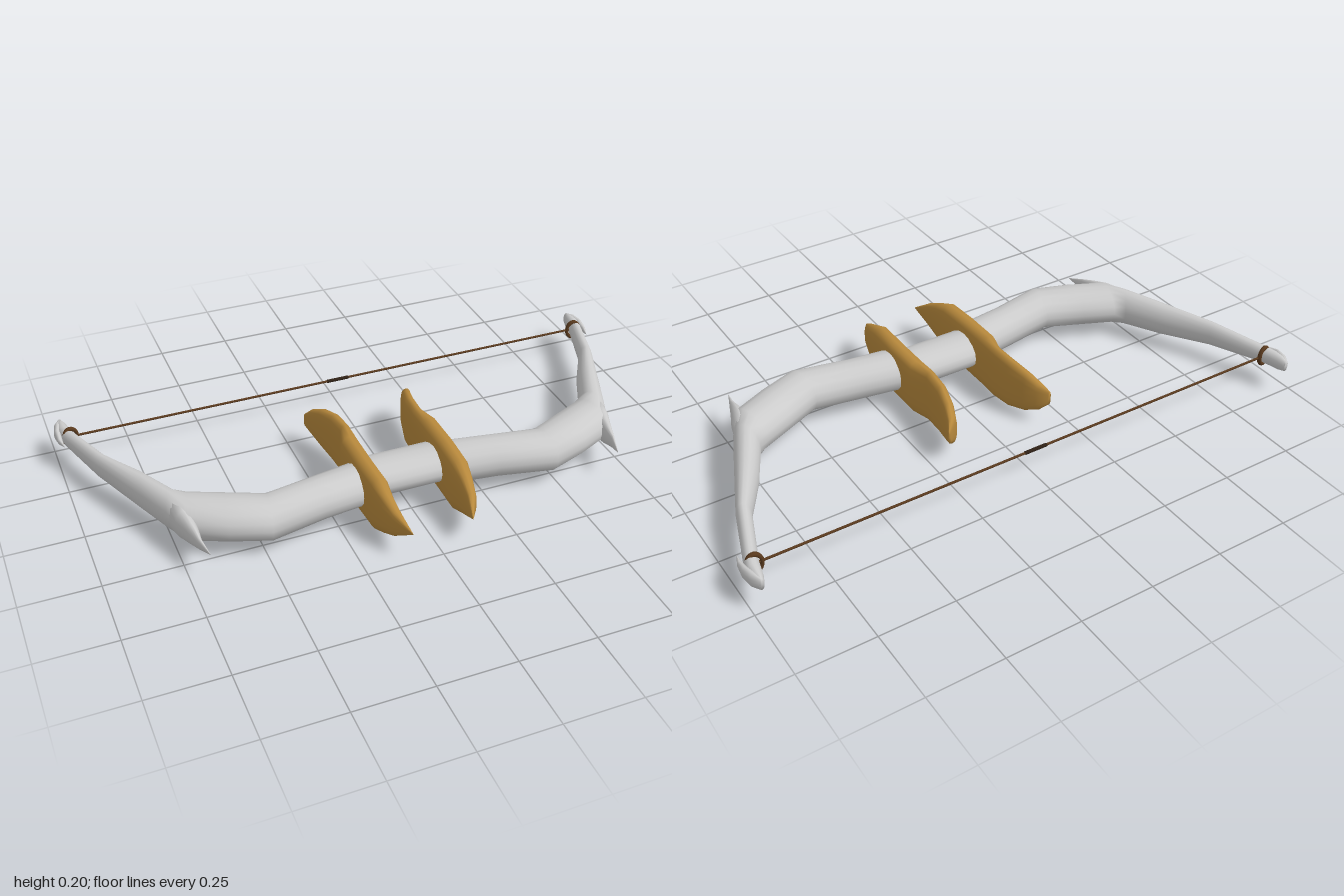
import * as THREE from 'three';

const MID = 0.105; // height of the bow's centre line
const paint = (color) => new THREE.MeshStandardMaterial({ color, side: THREE.DoubleSide });

// Skin through rings. Section: [frontX, frontZ, backX, backZ, halfHeight];
// power < 1 squares the ring, side = -1 mirrors it across x.
function loft(name, sections, material, { sides = 16, power = 1, side = 1, y = MID } = {}) {
  const pos = [], idx = [];
  const bend = (t) => Math.sign(t) * Math.pow(Math.abs(t), power);
  for (const [fx, fz, bx, bz, h] of sections) {
    for (let k = 0; k < sides; k++) {
      const a = (k / sides) * Math.PI * 2;
      const c = bend(Math.cos(a)), s = bend(Math.sin(a));
      pos.push(side * ((fx + bx) / 2 + ((fx - bx) / 2) * c), y + h * s, (fz + bz) / 2 + ((fz - bz) / 2) * c);
    }
  }
  // End centres
  const n = sections.length;
  for (const [fx, fz, bx, bz] of [sections[0], sections[n - 1]]) pos.push((side * (fx + bx)) / 2, y, (fz + bz) / 2);

  // Winding follows the direction of travel
  const m = Math.floor(n / 2), A = sections[m - 1], B = sections[m];
  const dx = side * (B[0] + B[2] - A[0] - A[2]), dz = B[1] + B[3] - A[1] - A[3];
  const ux = side * (B[0] - B[2]), uz = B[1] - B[3];
  const outward = ux * dz - uz * dx > 0;
  const tri = (a, b, c) => (outward ? idx.push(a, b, c) : idx.push(a, c, b));
  for (let k = 0; k < sides; k++) {
    const k2 = (k + 1) % sides;
    for (let i = 0; i < n - 1; i++) {
      const a = i * sides + k, b = i * sides + k2;
      tri(a, b, a + sides);
      tri(b, b + sides, a + sides);
    }
    tri(n * sides, k2, k);
    tri(n * sides + 1, (n - 1) * sides + k, (n - 1) * sides + k2);
  }
  const g = new THREE.BufferGeometry();
  g.setAttribute('position', new THREE.Float32BufferAttribute(pos, 3));
  g.setIndex(idx);
  g.computeVertexNormals();
  const mesh = new THREE.Mesh(g, material);
  mesh.name = name;
  return mesh;
}

export function createModel() {
  const model = new THREE.Group();
  model.name = 'bow';
  const grey = paint(0xcccccc), gold = paint(0xb8893c), brown = paint(0x5a3a1e), dark = paint(0x2e2015);

  // Bow body: grip, recurved limb, tip
  const half = [
    [0.1, 0.255, 0.1, 0.09, 0.058],
    [0.135, 0.26, 0.135, 0.095, 0.06],
    [0.155, 0.272, 0.155, 0.112, 0.066],
    [0.3, 0.288, 0.29, 0.138, 0.067],
    [0.485, 0.328, 0.46, 0.168, 0.068],
    [0.61, 0.285, 0.58, 0.112, 0.068],
    [0.725, 0.232, 0.68, 0.066, 0.067],
    [0.768, 0.14, 0.715, 0.048, 0.066],
    [0.815, 0.03, 0.785, -0.09, 0.06],
    [0.912, -0.2, 0.87, -0.225, 0.045],
    [0.975, -0.39, 0.935, -0.41, 0.031],
    [0.988, -0.44, 0.943, -0.445, 0.029],
    [0.985, -0.475, 0.95, -0.475, 0.027],
    [0.975, -0.5, 0.96, -0.5, 0.02],
  ];
  const mirrored = half.map(([fx, fz, bx, bz, h]) => [-fx, fz, -bx, bz, h]).reverse();
  model.add(loft('bowBody', [...mirrored, ...half], grey));

  for (const side of [1, -1]) {
    const prefix = side > 0 ? 'left' : 'right';

    // Pointed barb at the elbow
    model.add(loft(prefix + 'ElbowBarb', [
      [0.767, 0.13, 0.7, 0.13, 0.06],
      [0.752, 0.19, 0.69, 0.19, 0.055],
      [0.73, 0.245, 0.692, 0.245, 0.04],
      [0.712, 0.295, 0.696, 0.295, 0.022],
      [0.69, 0.355, 0.688, 0.355, 0.001],
    ], grey, { side }));

    // Hook folding back outside the tip
    model.add(loft(prefix + 'TipHook', [
      [0.978, -0.5, 0.96, -0.5, 0.021],
      [0.994, -0.475, 0.965, -0.47, 0.026],
      [1.0, -0.435, 0.975, -0.435, 0.024],
      [0.995, -0.395, 0.979, -0.395, 0.012],
      [0.98, -0.36, 0.979, -0.36, 0.001],
    ], grey, { side }));

    // Curved guard plate beside the grip: [z, innerX, outerX, halfHeight]
    const plate = [
      [0.49, 0.099, 0.101, 0.002],
      [0.425, 0.107, 0.143, 0.046],
      [0.37, 0.108, 0.158, 0.072],
      [0.31, 0.102, 0.17, 0.098],
      [0.2, 0.105, 0.175, 0.1],
      [0.07, 0.105, 0.174, 0.1],
      [0.0, 0.107, 0.15, 0.098],
      [-0.08, 0.112, 0.157, 0.092],
      [-0.15, 0.13, 0.173, 0.075],
      [-0.195, 0.15, 0.187, 0.052],
      [-0.218, 0.185, 0.197, 0.025],
    ].map(([z, a, b, h]) => [b, z, a, z, h]);
    model.add(loft(prefix + 'GuardPlate', plate, gold, { side, power: 0.7, y: 0.102 }));

    // String binding around the tip
    const binding = new THREE.Mesh(new THREE.TorusGeometry(0.031, 0.008, 8, 20), brown);
    binding.scale.set(0.75, 1, 1);
    binding.position.set(side * 0.95, MID, -0.412);
    binding.rotation.y = side * -0.2;
    binding.name = prefix + 'StringBinding';
    model.add(binding);
  }

  // String and its centre serving
  for (const [name, r, len, mat] of [['bowString', 0.004, 1.88, brown], ['stringServing', 0.006, 0.08, dark]]) {
    const rod = new THREE.Mesh(new THREE.CylinderGeometry(r, r, len, 8), mat);
    rod.rotation.z = Math.PI / 2;
    rod.position.set(0, MID, -0.415);
    rod.name = name;
    model.add(rod);
  }
  return model;
}
